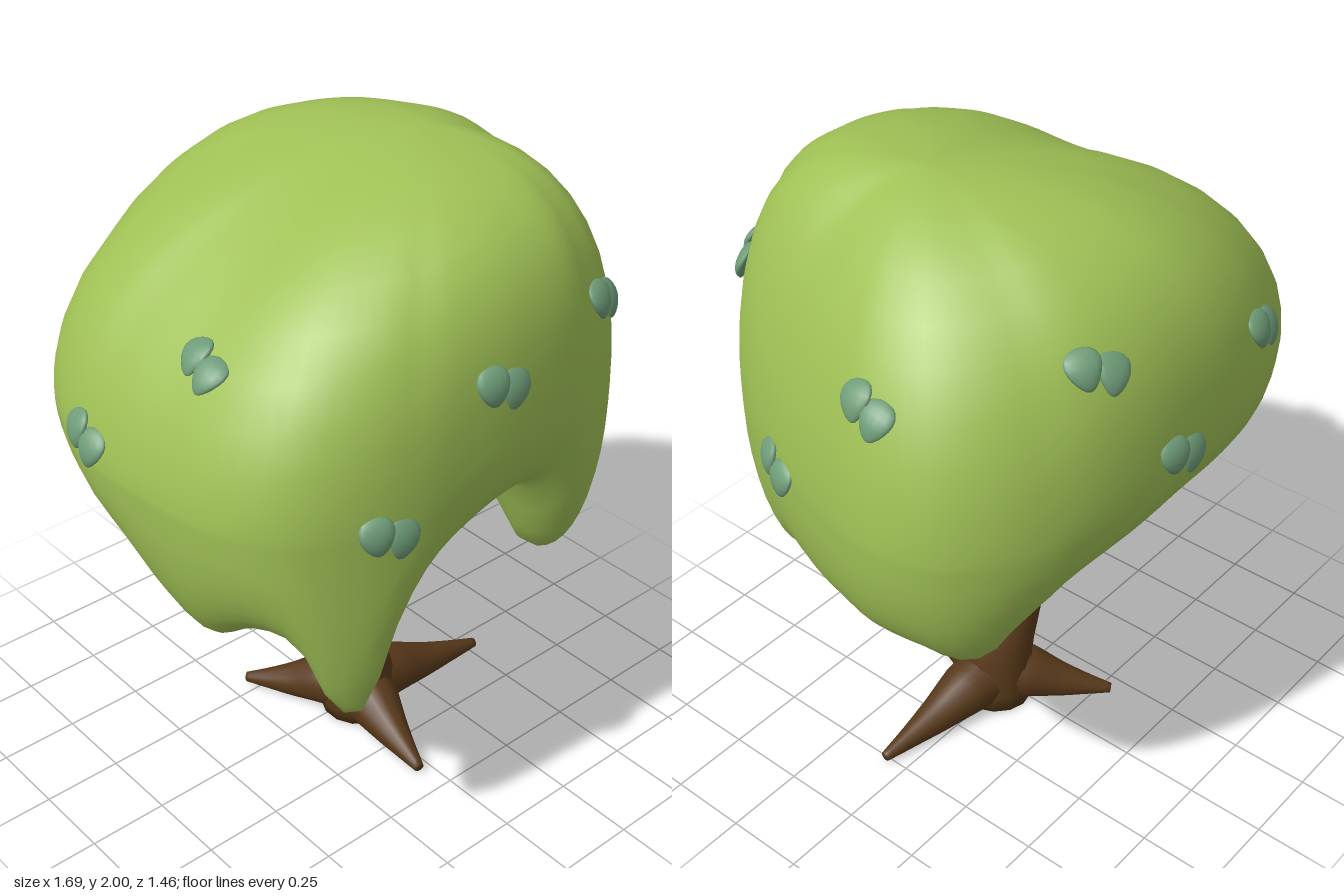
import * as THREE from 'three';
import { mergeVertices } from 'three/addons/utils/BufferGeometryUtils.js';

const paint = (color) => new THREE.MeshStandardMaterial({ color, roughness: 0.9 });
const bark = paint(0x58391a), foliage = paint(0x9fc055), leafGreen = paint(0x6f9c78);

// Smooth periodic curve through [degrees, value] pairs
function periodic(table) {
  const n = table.length;
  const at = (i) => {
    const w = Math.floor(i / n), [d, v] = table[i - w * n];
    return [d + w * 360, v];
  };
  const slope = (i) => (at(i + 1)[1] - at(i - 1)[1]) / (at(i + 1)[0] - at(i - 1)[0]);
  return (deg) => {
    deg = ((deg % 360) + 360) % 360;
    let i = n - 1;
    while (i > 0 && table[i][0] > deg) i--;
    const [d0, v0] = at(i), [d1, v1] = at(i + 1), h = d1 - d0, t = (deg - d0) / h;
    const t2 = t * t, t3 = t2 * t;
    return (2 * t3 - 3 * t2 + 1) * v0 + (t3 - 2 * t2 + t) * h * slope(i)
      + (3 * t2 - 2 * t3) * v1 + (t3 - t2) * h * slope(i + 1);
  };
}

// Crown outline seen from above (0 = +x, 90 = front)
const outline = periodic([
  [0, 0.79], [21, 0.75], [34, 0.757], [46, 0.768], [58, 0.752], [74, 0.715], [90, 0.70], [108, 0.727],
  [138, 0.864], [150, 0.873], [173, 0.826], [206, 0.85], [219, 0.83], [234, 0.775],
  [270, 0.70], [288, 0.715], [306, 0.772], [323, 0.858], [334, 0.886], [347, 0.854],
]);

// Height of the crown's lower edge: drooping lobes with an arch at the front
const hem = periodic([
  [0, 0.82], [24, 0.81], [36, 0.73], [46, 0.71], [54, 0.73], [61, 0.84], [66, 0.99], [72, 1.07],
  [88, 1.08], [102, 1.04], [112, 0.98], [119, 0.87], [124, 0.68], [128, 0.59], [134, 0.64],
  [140, 0.82], [149, 0.84], [163, 0.72], [173, 0.75], [185, 0.88], [200, 0.97], [225, 1.02],
  [260, 1.05], [285, 1.02], [305, 0.97], [317, 0.87], [324, 0.77], [330, 0.76], [339, 0.81],
]);

// How far the hem tucks in, and how square the dome and the lower side are
const tuck = periodic([
  [0, 0.2], [46, 0.22], [88, 0.24], [113, 0.2], [129, 0.17], [144, 0.24], [163, 0.28],
  [195, 0.3], [225, 0.36], [260, 0.38], [295, 0.33], [327, 0.28],
]);
const lowerSquare = periodic([
  [0, 2.1], [50, 2.1], [90, 2], [113, 2.4], [129, 4], [145, 2.6], [163, 2], [270, 2],
]);
const domeSquare = periodic([
  [0, 1.95], [25, 2], [45, 2.5], [60, 3.1], [90, 3.1], [115, 2.7], [135, 2.2], [160, 1.87], [180, 1.8],
  [205, 1.92], [225, 2.1], [245, 2.5], [270, 2.95], [295, 2.65], [320, 2.1], [340, 1.92],
]);

const APEX_X = 0.22, APEX_Z = 0.07, TOP = 2, CEILING = 1.11;
const shoulder = (deg) => Math.max(1.22, hem(deg) + 0.3);

// Crown point for a compass angle, outline factor and height
function crownPoint(deg, f, y, lean = 0) {
  const a = THREE.MathUtils.degToRad(deg), r = outline(deg) * f;
  return new THREE.Vector3(lean * APEX_X + r * Math.cos(a), y, lean * APEX_Z + r * Math.sin(a));
}

// Dome point, w = 0 at the apex and 1 at the widest level
function domePoint(deg, w) {
  const e = shoulder(deg), m = 2 / domeSquare(deg);
  const f = Math.pow(Math.sin(w * Math.PI / 2), m);
  const h = Math.pow(Math.max(0, Math.cos(w * Math.PI / 2)), m);
  return crownPoint(deg, f, e + (TOP - e) * h, 1 - f);
}

function crownGeometry() {
  const cols = 96, rings = [];
  for (const w of [0, 0.04, 0.1, 0.18, 0.27, 0.36, 0.46, 0.56, 0.66, 0.76, 0.85, 0.93, 0.98, 1])
    rings.push((d) => domePoint(d, w));
  // Sides curling in to the hem
  for (let k = 1; k <= 10; k++) {
    const q = k / 10 * Math.PI / 2;
    rings.push((d) => {
      const e = shoulder(d), m = 2 / lowerSquare(d);
      const inward = 1 - Math.pow(Math.max(0, Math.cos(q)), m);
      return crownPoint(d, 1 - tuck(d) * inward, e - (e - hem(d)) * Math.pow(Math.sin(q), m));
    });
  }
  // Hollow underside
  for (const [f, k] of [[0.91, 0.06], [0.83, 0.3], [0.73, 0.6], [0.57, 0.86], [0.3, 0.98], [0, 1]])
    rings.push((d) => crownPoint(d, f * (1 - tuck(d)), hem(d) + (CEILING - hem(d)) * k));

  const pos = [], index = [];
  rings.forEach((ring, i) => {
    for (let j = 0; j < cols; j++) {
      pos.push(...ring(j / cols * 360).toArray());
      if (i === rings.length - 1) continue;
      const a = i * cols + j, b = i * cols + (j + 1) % cols;
      index.push(a, b, a + cols, b, b + cols, a + cols);
    }
  });
  return smooth(new THREE.BufferGeometry()
    .setAttribute('position', new THREE.Float32BufferAttribute(pos, 3)).setIndex(index));
}

// Weld seams and poles, then smooth the normals
function smooth(g) {
  g.deleteAttribute('uv');
  g.deleteAttribute('normal');
  g = mergeVertices(g, 1e-4);
  g.computeVertexNormals();
  return g;
}

// Closed tapering limb through [x, y, z, radius] stations, kept above the ground
function limb(name, stations, sides = 14) {
  const curve = new THREE.CatmullRomCurve3(stations.map(([x, y, z]) => new THREE.Vector3(x, y, z)));
  const seg = 26, g = new THREE.TubeGeometry(curve, seg, 1, sides), p = g.attributes.position;
  const v = new THREE.Vector3();
  for (let i = 0; i <= seg; i++) {
    const t = THREE.MathUtils.clamp((i - 1) / (seg - 2), 0, 1);
    const s = t * (stations.length - 1), k = Math.min(Math.floor(s), stations.length - 2);
    const r = i % seg === 0 ? 0 : THREE.MathUtils.lerp(stations[k][3], stations[k + 1][3], s - k);
    const from = curve.getPointAt(i / seg), to = curve.getPointAt(t);
    for (let j = 0; j <= sides; j++) {
      const n = i * (sides + 1) + j;
      v.fromBufferAttribute(p, n).sub(from).multiplyScalar(r).add(to);
      p.setXYZ(n, v.x, Math.max(0, v.y), v.z);
    }
  }
  const mesh = new THREE.Mesh(smooth(g), bark);
  mesh.name = name;
  return mesh;
}

// Rounded leaf, wide above and narrow below
function leafGeometry() {
  const g = new THREE.SphereGeometry(1, 14, 10), p = g.attributes.position;
  for (let i = 0; i < p.count; i++) {
    const x = p.getX(i), y = p.getY(i), z = p.getZ(i);
    const wide = 0.9 + 0.32 * y;
    p.setXYZ(i, x * 0.054 * wide, y * 0.058, z * 0.016 - 0.012 * y * y);
  }
  return smooth(g);
}

// Pair of leaves lying on the crown at a given angle and height
function leafPair(geometry, deg, y) {
  let lo = 0, hi = 1;
  for (let i = 0; i < 24; i++) {
    const mid = (lo + hi) / 2;
    if (domePoint(deg, mid).y > y) lo = mid; else hi = mid;
  }
  const at = domePoint(deg, lo);
  const across = domePoint(deg - 3, lo).sub(domePoint(deg + 3, lo));
  const up = domePoint(deg, lo - 0.03).sub(domePoint(deg, Math.min(1, lo + 0.03)));
  const normal = across.cross(up).normalize();
  const pair = new THREE.Group();
  pair.name = 'leafPair';
  pair.position.copy(at);
  pair.lookAt(at.clone().add(normal));
  for (const side of [-1, 1]) {
    const leaf = new THREE.Mesh(geometry, leafGreen);
    leaf.name = 'leaf';
    leaf.position.set(side * 0.039, -side * 0.014, 0.014);
    leaf.rotation.set(-0.15, side * 0.12, side < 0 ? 0.12 : -0.16);
    pair.add(leaf);
  }
  return pair;
}

export function createModel() {
  const tree = new THREE.Group();
  tree.name = 'tree';

  const crown = new THREE.Mesh(crownGeometry(), foliage);
  crown.name = 'crown';
  tree.add(crown);

  // Bent trunk and two branches
  tree.add(limb('trunk', [
    [0.04, 0, 0.02, 0.125], [0.015, 0.2, 0.02, 0.118], [-0.055, 0.35, 0.02, 0.1],
    [-0.092, 0.5, 0.02, 0.09], [-0.06, 0.66, 0.02, 0.083], [-0.01, 0.82, 0.02, 0.075],
    [0.01, 1.02, 0.02, 0.07], [0.01, 1.18, 0.02, 0.066],
  ]));
  tree.add(limb('leftBranch', [
    [-0.02, 0.77, 0.02, 0.05], [0.13, 0.795, 0.03, 0.047], [0.23, 0.855, 0.05, 0.04], [0.33, 0.95, 0.07, 0.034],
  ]));
  tree.add(limb('rightBranch', [
    [-0.01, 0.8, 0.02, 0.042], [-0.1, 0.86, 0.02, 0.036], [-0.19, 0.91, 0.01, 0.032], [-0.3, 0.945, 0, 0.028],
  ]));

  // Spreading roots
  for (const [x, z] of [[0.52, 0.07], [-0.05, 0.41], [-0.185, -0.295]]) {
    const sx = 0.03, sz = 0.02;
    const stations = [[0.05, 0.095, 0.1], [0.3, 0.075, 0.088], [0.55, 0.05, 0.062], [0.8, 0.033, 0.038], [1, 0.022, 0.016]];
    tree.add(limb('root', stations.map(([t, y, r]) => [sx + (x - sx) * t, y, sz + (z - sz) * t, r])));
  }

  // Leaf pairs scattered over the crown as [x, z, y]
  const geometry = leafGeometry();
  for (const [x, z, y] of [
    [-0.44, 0.68, 1.22], [-0.07, 0.7, 1.54], [0.4, 0.64, 1.61],
    [0.72, -0.18, 1.6], [0.73, 0.21, 1.23],
    [-0.79, -0.13, 1.3], [-0.63, 0.17, 1.6],
    [-0.28, -0.64, 1.54], [0.11, -0.71, 1.35], [0.34, -0.61, 1.69],
  ]) tree.add(leafPair(geometry, THREE.MathUtils.radToDeg(Math.atan2(z, x)), y));

  return tree;
}
